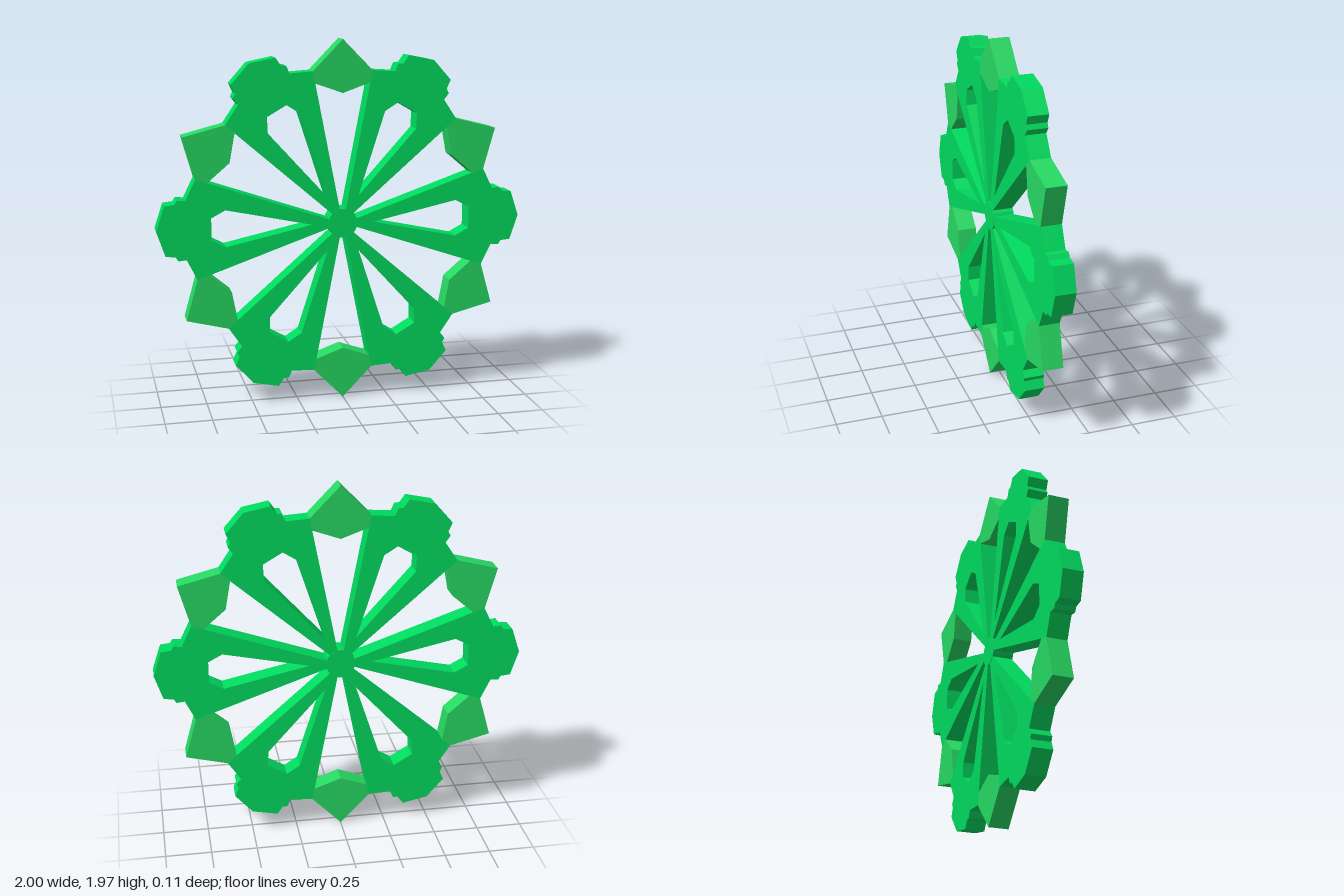
import * as THREE from 'three';

const DEPTH = 0.11, CENTRE_Y = 0.985;

// Completes an outline from its half (given from inside to outside), running counter-clockwise.
function mirrored(half) {
  const lower = half.map(([x, y]) => [x, -y]);
  const upper = half.filter(p => p[1] > 0).reverse();
  return [...lower, ...upper].map(([x, y]) => new THREE.Vector2(x, y));
}

function slab(shape) {
  return new THREE.ExtrudeGeometry(shape, { depth: DEPTH, bevelEnabled: false })
    .translate(0, 0, -DEPTH / 2);
}

export function createModel() {
  const group = new THREE.Group();
  const green = new THREE.MeshStandardMaterial({ color: 0x00da5e, flatShading: true });
  const paleGreen = new THREE.MeshStandardMaterial({ color: 0x27d863, flatShading: true });

  // Petal: wedge with a notched, pointed head and a pointed slot
  const petalShape = new THREE.Shape(mirrored([
    [0.06, 0], [0.07, 0.022], [0.79, 0.27], [0.845, 0.158], [0.888, 0.163],
    [0.903, 0.14], [0.955, 0.135], [1, 0],
  ]));
  petalShape.holes.push(new THREE.Path(mirrored([
    [0.17, 0], [0.635, 0.1], [0.711, 0.06],
  ])));
  const petalGeometry = slab(petalShape);

  // Diamond: pointed tile bridging two petal heads
  const diamondGeometry = slab(new THREE.Shape(mirrored([
    [0.702, 0], [0.756, 0.152], [0.819, 0.162], [0.985, 0],
  ])));

  const add = (name, geometry, material, angle) => {
    const mesh = new THREE.Mesh(geometry, material);
    mesh.name = name;
    mesh.position.y = CENTRE_Y;
    mesh.rotation.z = angle;
    group.add(mesh);
  };

  for (let i = 0; i < 6; i++) {
    const angle = i * Math.PI / 3;
    add('petal' + (i + 1), petalGeometry, green, angle);
    add('diamond' + (i + 1), diamondGeometry, paleGreen, angle + Math.PI / 6);
  }

  // Round hub joining the petals, standing a hair proud of them
  const hub = new THREE.CylinderGeometry(0.08, 0.08, DEPTH + 0.004, 24).rotateX(Math.PI / 2);
  add('hub', hub, green, 0);

  return group;
}
